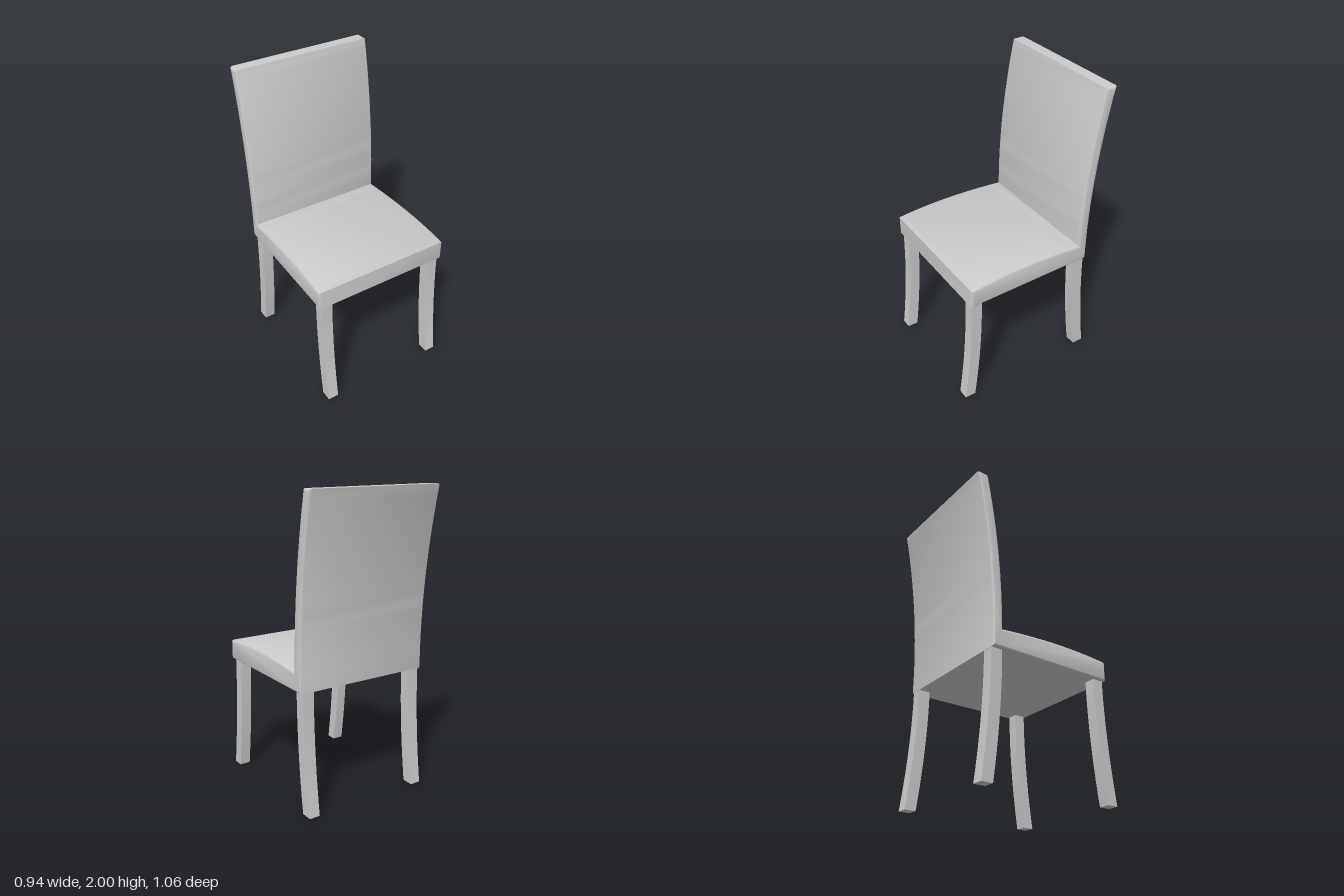
import * as THREE from 'three';
import { toCreasedNormals } from 'three/addons/utils/BufferGeometryUtils.js';

const material = new THREE.MeshStandardMaterial({ color: 0xcccccc });

// Extrudes a side profile drawn in (z, y) across the width, centred on x = 0.
function sideExtrusion(shape, width, bevel, curveSegments) {
  const depth = width - 2 * bevel;
  const geometry = new THREE.ExtrudeGeometry(shape, {
    depth,
    curveSegments,
    bevelEnabled: bevel > 0,
    bevelThickness: bevel,
    bevelSize: bevel,
    bevelOffset: -bevel,
    bevelSegments: 4,
  });
  geometry.translate(0, 0, -depth / 2);
  geometry.rotateY(-Math.PI / 2);
  return toCreasedNormals(geometry, 0.6);
}

// Curved leg: straight under the seat, sweeping out by `sweep` at the floor.
function legGeometry(zBack, zFront, sweep) {
  const top = 0.81;
  const shape = new THREE.Shape();
  shape.moveTo(zBack + sweep, 0);
  shape.lineTo(zFront + sweep, 0);
  shape.quadraticCurveTo(zFront, 0.42, zFront, top);
  shape.lineTo(zBack, top);
  shape.quadraticCurveTo(zBack, 0.42, zBack + sweep, 0);
  return sideExtrusion(shape, 0.073, 0, 10);
}

export function createModel() {
  const chair = new THREE.Group();
  chair.name = 'diningChair';

  // Upholstered seat and backrest as one L-shaped body
  const profile = new THREE.Shape();
  profile.moveTo(-0.407, 0.8);
  profile.lineTo(0.48, 0.8);
  profile.lineTo(0.48, 0.93);
  profile.quadraticCurveTo(0.12, 0.972, -0.338, 0.925);
  profile.quadraticCurveTo(-0.338, 1.46, -0.455, 2);
  profile.lineTo(-0.53, 2);
  profile.quadraticCurveTo(-0.41, 1.46, -0.407, 0.93);
  profile.lineTo(-0.407, 0.8);
  const body = new THREE.Mesh(sideExtrusion(profile, 0.94, 0.017, 16), material);
  body.name = 'seatAndBackrest';
  chair.add(body);

  // Four legs, mirrored left and right
  const legs = {
    FrontLeg: legGeometry(0.393, 0.467, 0.063),
    BackLeg: legGeometry(-0.405, -0.327, -0.06),
  };
  for (const [name, geometry] of Object.entries(legs)) {
    for (const side of [-1, 1]) {
      const leg = new THREE.Mesh(geometry, material);
      leg.name = (side > 0 ? 'left' : 'right') + name;
      leg.position.x = side * 0.408;
      chair.add(leg);
    }
  }
  return chair;
}
